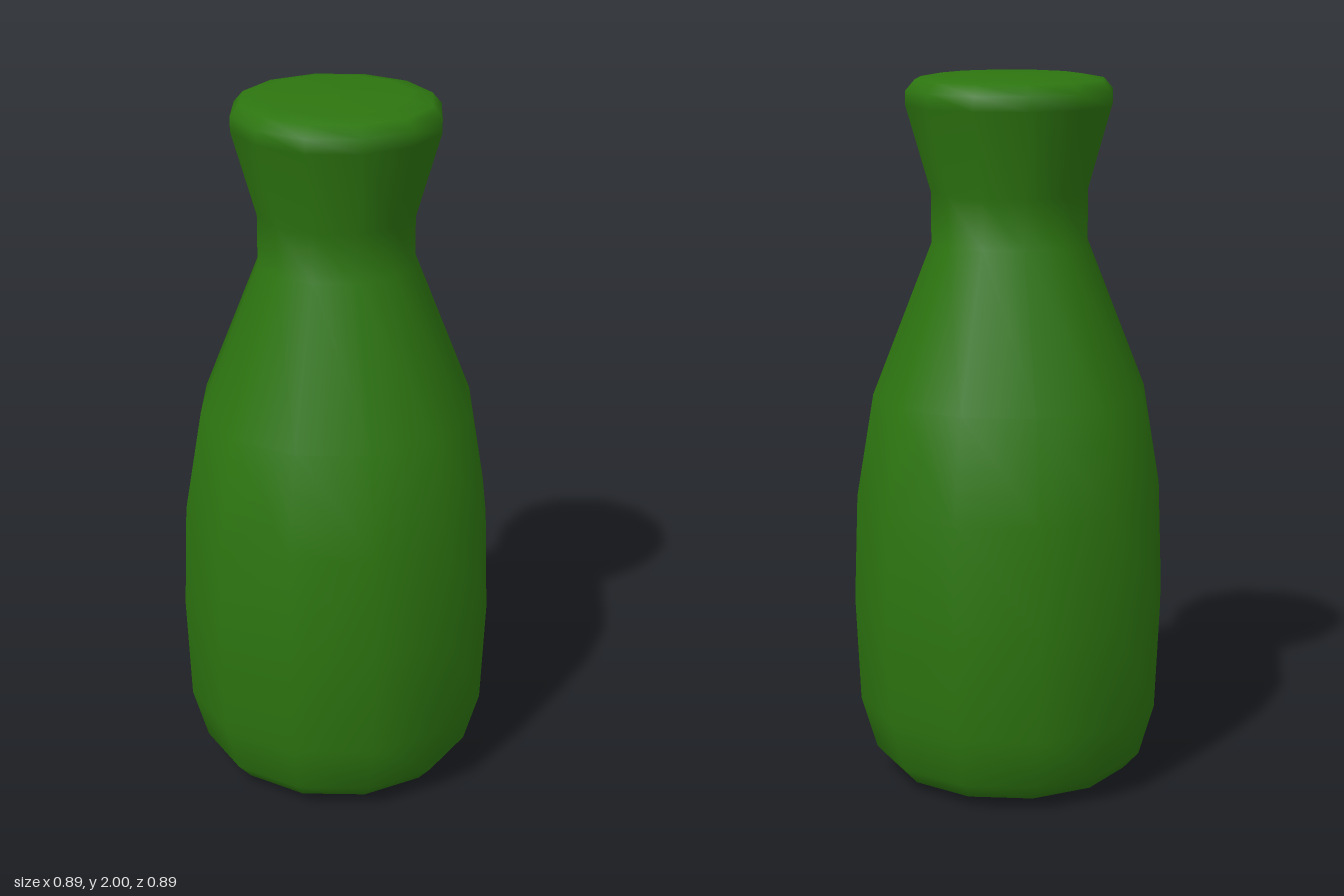
import * as THREE from 'three';

export function createModel() {
  const model = new THREE.Group();
  model.name = 'bottle';

  // Half profile from the base centre up to the closed top: [radius, height]
  const profile = [
    [0, 0], [0.28, 0.005], [0.345, 0.03], [0.39, 0.08], [0.434, 0.23],
    [0.447, 0.53], [0.436, 0.83], [0.387, 1.12],          // belly
    [0.22, 1.54], [0.22, 1.68],                           // shoulder and neck
    [0.288, 1.915], [0.288, 1.955], [0.262, 1.985],       // flared lip
    [0.2, 1.996], [0, 2],                                 // closed top
  ].map(([r, y]) => new THREE.Vector2(r, y));

  // Twelve-sided body with smooth shading
  const body = new THREE.Mesh(
    new THREE.LatheGeometry(profile, 12),
    new THREE.MeshStandardMaterial({ color: 0x2d7510 }),
  );
  body.name = 'bottleBody';
  model.add(body);

  return model;
}
